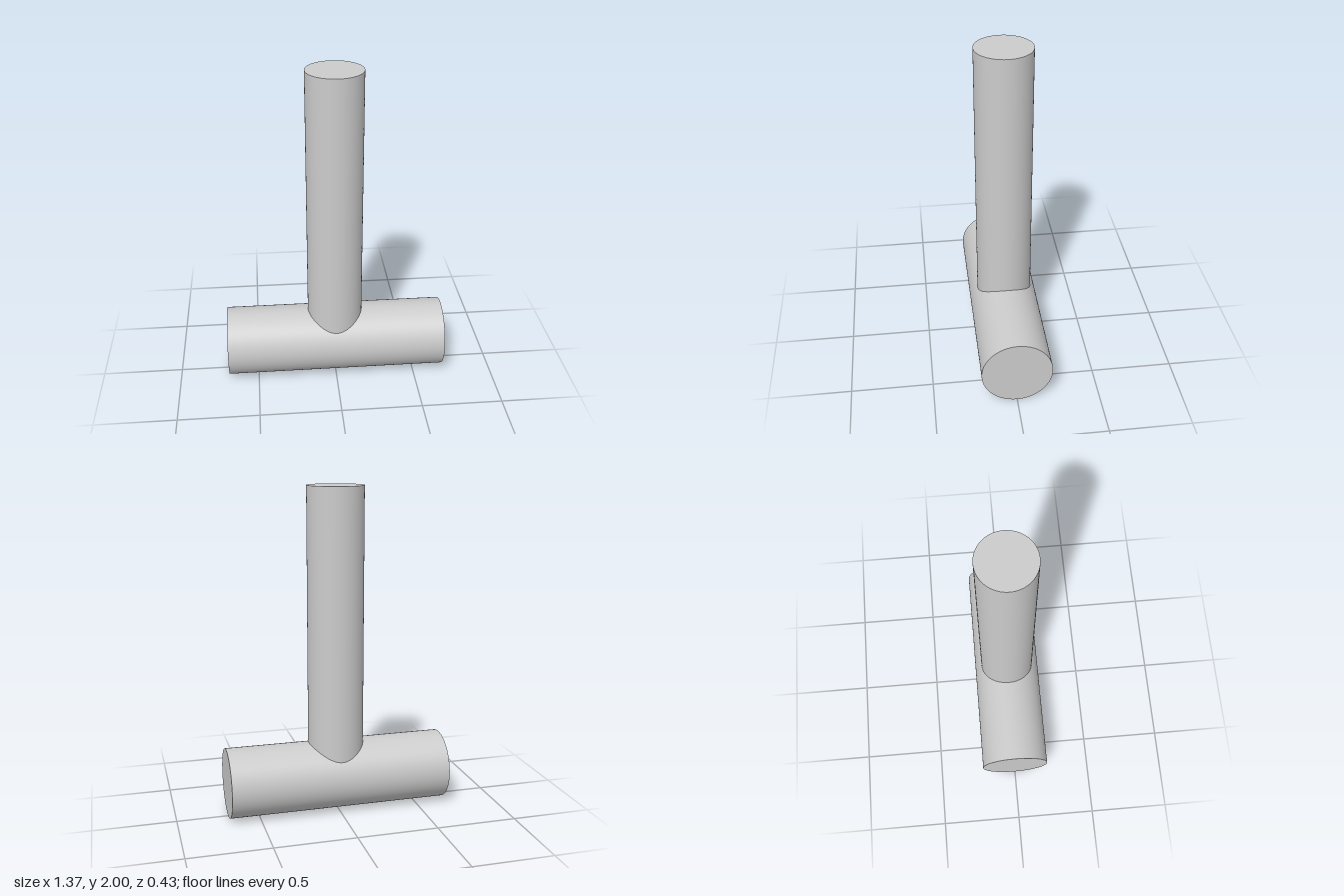
import * as THREE from 'three';

const HEAD_RADIUS = 0.214;
const HEAD_LENGTH = 1.372;
const HANDLE_RADIUS = 0.171;
const HEIGHT = 2;

export function createModel() {
  const model = new THREE.Group();
  model.name = 'mallet';
  const material = new THREE.MeshStandardMaterial({ color: 0xcccccc });

  // Horizontal cylinder lying along x, resting on the ground
  const headGeometry = new THREE.CylinderGeometry(HEAD_RADIUS, HEAD_RADIUS, HEAD_LENGTH, 96);
  headGeometry.rotateZ(Math.PI / 2);
  const head = new THREE.Mesh(headGeometry, material);
  head.name = 'head';
  head.position.y = HEAD_RADIUS;
  model.add(head);

  // Upright cylinder, its lower rim shaped to sit on the curve of the head
  const handleGeometry = new THREE.CylinderGeometry(HANDLE_RADIUS, HANDLE_RADIUS, HEIGHT, 96, 1, true);
  handleGeometry.translate(0, HEIGHT / 2, 0);
  const p = handleGeometry.attributes.position;
  for (let i = 0; i < p.count; i++) {
    if (p.getY(i) < HEIGHT / 2) {
      const z = p.getZ(i);
      p.setY(i, HEAD_RADIUS + Math.sqrt(HEAD_RADIUS ** 2 - z * z) - 0.001);
    }
  }
  const handle = new THREE.Mesh(handleGeometry, material);
  handle.name = 'handle';
  model.add(handle);

  // Flat top of the handle
  const capGeometry = new THREE.CircleGeometry(HANDLE_RADIUS, 96);
  capGeometry.rotateX(-Math.PI / 2);
  const cap = new THREE.Mesh(capGeometry, material);
  cap.name = 'handleTop';
  cap.position.y = HEIGHT;
  model.add(cap);

  return model;
}
